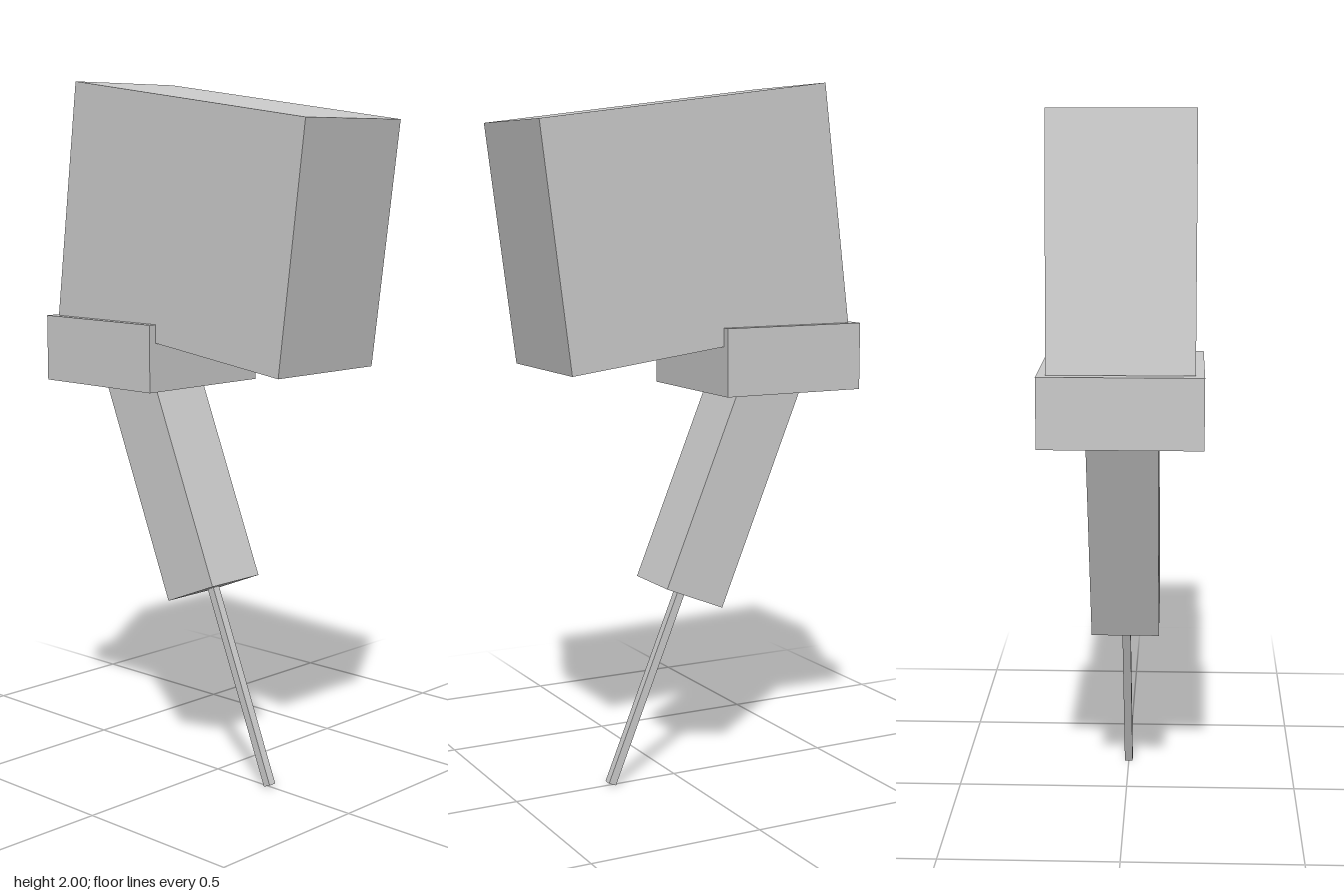
import * as THREE from 'three';

export function createModel() {
  const group = new THREE.Group();
  const material = new THREE.MeshStandardMaterial({ color: 0xcccccc, flatShading: true });

  // Box whose tilt (degrees) turns it about the x axis.
  const addBox = (name, size, position, tilt = 0) => {
    const mesh = new THREE.Mesh(new THREE.BoxGeometry(...size), material);
    mesh.name = name;
    mesh.position.set(...position);
    mesh.rotation.x = THREE.MathUtils.degToRad(tilt);
    group.add(mesh);
  };

  // Box running up a leaning axis from its bottom centre.
  const addLeaning = (name, width, length, [y, z], tilt) => {
    const a = THREE.MathUtils.degToRad(tilt);
    addBox(name, [width, length, width],
      [0, y + Math.cos(a) * length / 2, z + Math.sin(a) * length / 2], tilt);
  };

  // Large head, tipped forward
  addBox('head', [0.387, 0.676, 0.872], [0, 1.61, 0.014], 7.4);

  // Level collar under the rear of the head
  addBox('collar', [0.434, 0.19, 0.433], [0, 1.235, -0.271]);

  // Leaning grip and thin rod on the same axis
  addLeaning('grip', 0.193, 0.7, [0.549, -0.018], -22.4);
  addLeaning('rod', 0.024, 0.6, [0.005, 0.206], -22.4);

  return group;
}
